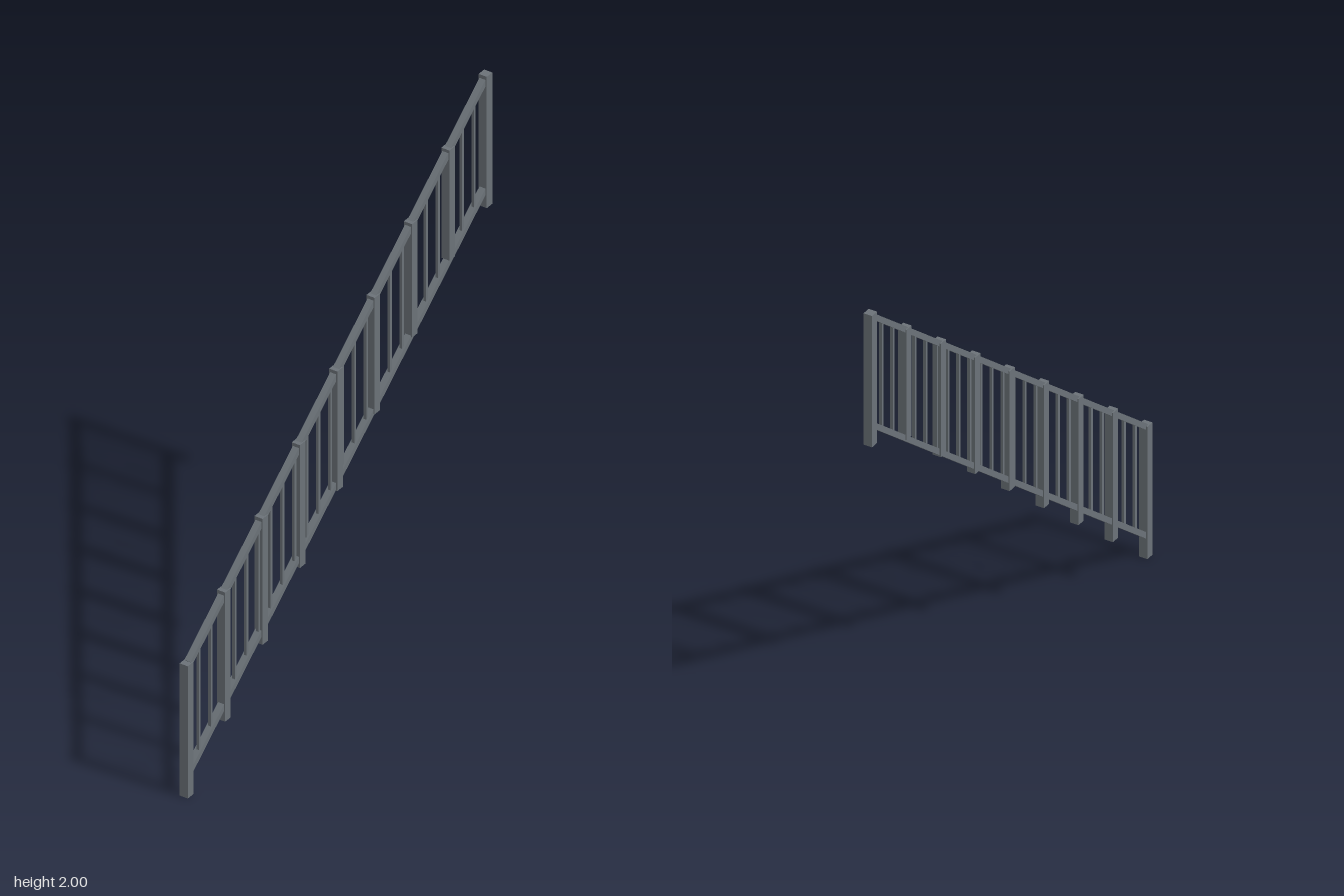
import * as THREE from 'three';

const END = 0.909;       // z of the outermost post centres
const SLOPE = 0.802;     // rise per unit of run towards the back
const POST = 0.034;
const RAIL = 0.021;
const BAR = 0.011;
const topLine = z => 1.259 - SLOPE * z;
const lowLine = z => 0.812 - SLOPE * z;

export function createModel() {
  const group = new THREE.Group();
  group.name = 'stairRailing';
  const steel = new THREE.MeshStandardMaterial({ color: 0x6b7278 });

  const addBox = (name, w, h, d, y, z) => {
    const mesh = new THREE.Mesh(new THREE.BoxGeometry(w, h, d), steel);
    mesh.name = name;
    mesh.position.set(0, y, z);
    group.add(mesh);
    return mesh;
  };

  // Nine square posts; the feet drop a little less at each step up
  for (let i = 0; i < 9; i++) {
    const z = END - (i * 2 * END) / 8;
    const top = 0.544 + 0.182 * i;
    const bottom = i === 8 ? 1.46 : 0.195 * i;
    addBox(`post${i + 1}`, POST, top - bottom, POST, (top + bottom) / 2, z);
  }

  // Sloping top and bottom rails
  const angle = Math.atan(SLOPE);
  const railLength = (2 * (END - 0.012)) / Math.cos(angle);
  for (const [name, line] of [['topRail', topLine], ['bottomRail', lowLine]]) {
    addBox(name, 0.025, RAIL, railLength, line(0), 0).rotation.x = angle;
  }

  // Thin balusters, evenly spaced along the whole run
  for (let i = 1; i < 25; i++) {
    const z = END - (i * 2 * END) / 25;
    const top = topLine(z), bottom = lowLine(z);
    addBox(`baluster${i}`, BAR, top - bottom, BAR, (top + bottom) / 2, z);
  }
  return group;
}
